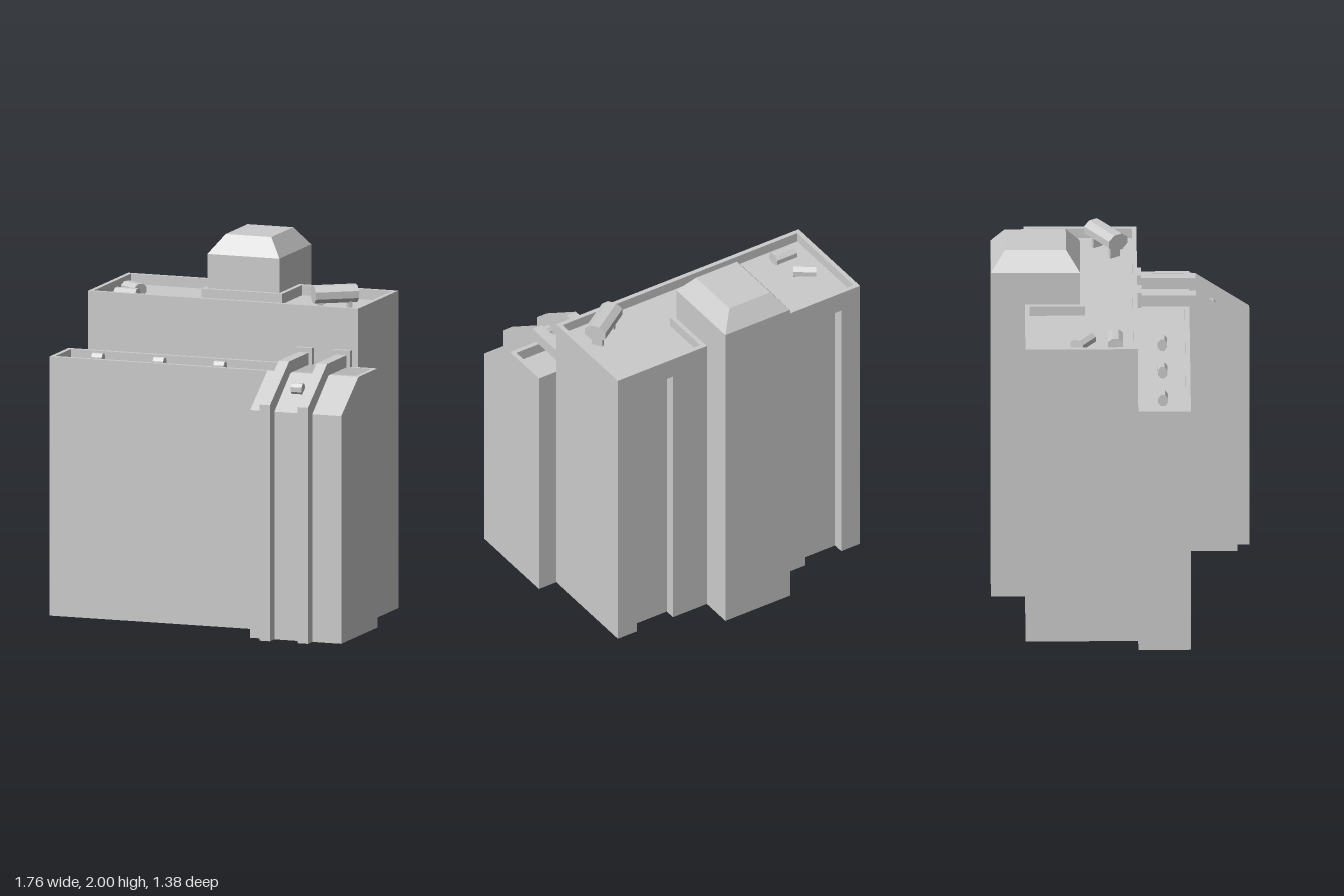
import * as THREE from 'three';

const material = new THREE.MeshStandardMaterial({ color: 0xcccccc, side: THREE.DoubleSide });

function add(parent, name, geometry) {
  const mesh = new THREE.Mesh(geometry, material);
  mesh.name = name;
  parent.add(mesh);
  return mesh;
}

// Wall strip between two matching rows of [x, y, z] points
function strip(lower, upper, closed = false) {
  const pos = [];
  const n = lower.length;
  for (let i = 0; i < (closed ? n : n - 1); i++) {
    const j = (i + 1) % n;
    pos.push(...lower[i], ...lower[j], ...upper[j], ...lower[i], ...upper[j], ...upper[i]);
  }
  const g = new THREE.BufferGeometry();
  g.setAttribute('position', new THREE.Float32BufferAttribute(pos, 3));
  g.computeVertexNormals();
  return g;
}

// Upright wall along a plan path of [x, z] points
const at = (plan, y) => plan.map(([x, z]) => [x, y, z]);
const wall = (plan, y0, y1, closed) => strip(at(plan, y0), at(plan, y1), closed);

// Level surface from a plan outline, with an optional hole
function slab(plan, y, hole) {
  const flip = (pts) => pts.map(([x, z]) => new THREE.Vector2(x, -z));
  const shape = new THREE.Shape(flip(plan));
  if (hole) shape.holes.push(new THREE.Path(flip(hole)));
  return new THREE.ShapeGeometry(shape).rotateX(-Math.PI / 2).translate(0, y, 0);
}

const rect = (x0, x1, z0, z1) => [[x0, z1], [x1, z1], [x1, z0], [x0, z0]];
const mirrored = (plan) => plan.map(([x, z]) => [-x, z]);

// Sunken roof inside a parapet
function parapetRoof(parent, name, outer, inner, roofY, topY) {
  add(parent, name + 'ParapetRim', slab(outer, topY, inner));
  add(parent, name + 'ParapetInside', wall(inner, roofY, topY, true));
  add(parent, name + 'Roof', slab(inner, roofY));
}

// Eight-sided roof unit lying along x
function roofUnit(parent, name, length, height, width, x, y, z, turn = 0) {
  const g = new THREE.CylinderGeometry(0.5, 0.5, 1, 8).toNonIndexed();
  g.rotateY(Math.PI / 8).rotateZ(Math.PI / 2);
  const k = 1 / Math.cos(Math.PI / 8);
  g.scale(length, height * k, width * k);
  g.computeVertexNormals();
  const mesh = add(parent, name, g);
  mesh.position.set(x, y, z);
  mesh.rotation.y = turn;
  return mesh;
}

export function createModel() {
  const model = new THREE.Group();
  model.name = 'building';

  const W = 0.77, BACK = -0.51, MID = 0.09, TOP = 1.715, ROOF = 1.66; // tall block
  const LW = 0.88, FRONT = 0.37, LTOP = 1.4, LROOF = 1.34;            // low front block
  const SX = 0.205, SB = -0.69, SF = -0.215;                          // stack
  const T = 0.025;                                                    // parapet thickness

  // Tall block: sides and back, with two shallow recesses in the back
  const tower = new THREE.Group();
  tower.name = 'tallBlock';
  model.add(tower);
  const R0 = 0.42, R1 = 0.65, RD = BACK + 0.06, RTOP = 1.6;
  const half = [[W, MID], [W, BACK], [R1, BACK], [R1, RD], [R0, RD], [R0, BACK], [SX, BACK]];
  const upperHalf = [[W, MID], [W, BACK], [SX, BACK]];
  for (const side of [(p) => p, mirrored]) {
    add(tower, 'sideAndBackWall', wall(side(half), 0, RTOP));
    add(tower, 'upperWall', wall(side(upperHalf), RTOP, TOP));
    add(tower, 'recessCeiling', slab(side(rect(R0, R1, BACK, RD)), RTOP));
  }
  add(tower, 'frontWall', wall([[-W, MID], [W, MID]], LROOF, TOP));
  const uPlan = (w, f, b, sx, sf) =>
    [[-w, f], [w, f], [w, b], [sx, b], [sx, sf], [-sx, sf], [-sx, b], [-w, b]];
  parapetRoof(tower, 'tall', uPlan(W, MID, BACK, SX, SF),
    uPlan(W - T, MID - T, BACK + T, SX + T, SF + T), ROOF, TOP);

  // Stack on the back with a chamfered cap
  const stack = new THREE.Group();
  stack.name = 'stack';
  model.add(stack);
  const stackPlan = rect(-SX, SX, SB, SF);
  const capPlan = rect(-0.13, 0.13, SB + 0.075, SF - 0.075);
  add(stack, 'stackLowerWall', wall([[SX, BACK], [SX, SB], [-SX, SB], [-SX, BACK]], 0, ROOF));
  add(stack, 'stackUpperWall', wall(stackPlan, ROOF, 1.9, true));
  add(stack, 'stackChamfer', strip(at(stackPlan, 1.9), at(capPlan, 2), true));
  add(stack, 'stackTop', slab(capPlan, 2));

  // Low front block
  const low = new THREE.Group();
  low.name = 'lowBlock';
  model.add(low);
  const BX = 0.36, BZ = 0.625, BY = 1.23;
  add(low, 'lowWall', wall([[-W, MID], [-LW, MID], [-LW, FRONT], [BX, FRONT]], 0, LTOP));
  add(low, 'lowSideWall', wall([[LW, FRONT], [LW, MID], [W, MID]], 0, LTOP));
  parapetRoof(low, 'low', rect(-LW, LW, MID, FRONT),
    rect(-LW + T, LW - T, MID + T, FRONT - T), LROOF, LTOP);

  // Bay with a sloped top
  const bayPlan = [[BX, FRONT], [BX, BZ], [LW, BZ], [LW, FRONT]];
  const bayTop = bayPlan.map(([x, z]) => [x, z === BZ ? BY : LTOP, z]);
  add(low, 'bayWall', strip(at(bayPlan, 0), bayTop));
  add(low, 'baySlope', strip([bayTop[1], bayTop[2]], [bayTop[0], bayTop[3]]));

  // Square ducts climbing the bay, each ending in a wall collar
  const ductShape = new THREE.Shape([
    [0.625, 0], [0.69, 0], [0.69, 1.275], [0.405, 1.465],
    [0.09, 1.465], [0.09, 1.4], [0.385, 1.4], [0.625, 1.23],
  ].map(([z, y]) => new THREE.Vector2(-z, y)));
  for (const x of [0.468, 0.685]) {
    const duct = new THREE.Group();
    duct.name = 'duct';
    const g = new THREE.ExtrudeGeometry(ductShape, { depth: 0.06, bevelEnabled: false });
    g.translate(0, 0, -0.03).rotateY(Math.PI / 2);
    add(duct, 'ductPipe', g);
    add(duct, 'ductCollar', new THREE.BoxGeometry(0.1, 0.1, 0.03)).position.set(0, 1.44, 0.1);
    duct.position.x = x;
    model.add(duct);
  }

  // Small vents on the low roof and the bay slope
  for (const x of [-0.66, -0.31, 0.035]) {
    roofUnit(model, 'smallVent', 0.06, 0.065, 0.052, x, 1.375, 0.223);
  }
  roofUnit(model, 'bayVent', 0.062, 0.062, 0.052, 0.58, 1.335, 0.488);

  // Units on the tall roof
  roofUnit(model, 'roofVent', 0.125, 0.065, 0.08, -0.593, 1.69, -0.03);
  roofUnit(model, 'roofVent', 0.125, 0.065, 0.08, -0.62, 1.69, -0.202, -0.59);
  const unit = roofUnit(model, 'largeRoofUnit', 0.235, 0.092, 0.118, 0.575, 1.758, -0.075, 0.6);
  for (const x of [-0.08, 0.08]) {
    add(unit, 'unitFoot', new THREE.BoxGeometry(0.02, 0.07, 0.06)).position.set(x, -0.065, 0);
  }

  return model;
}
